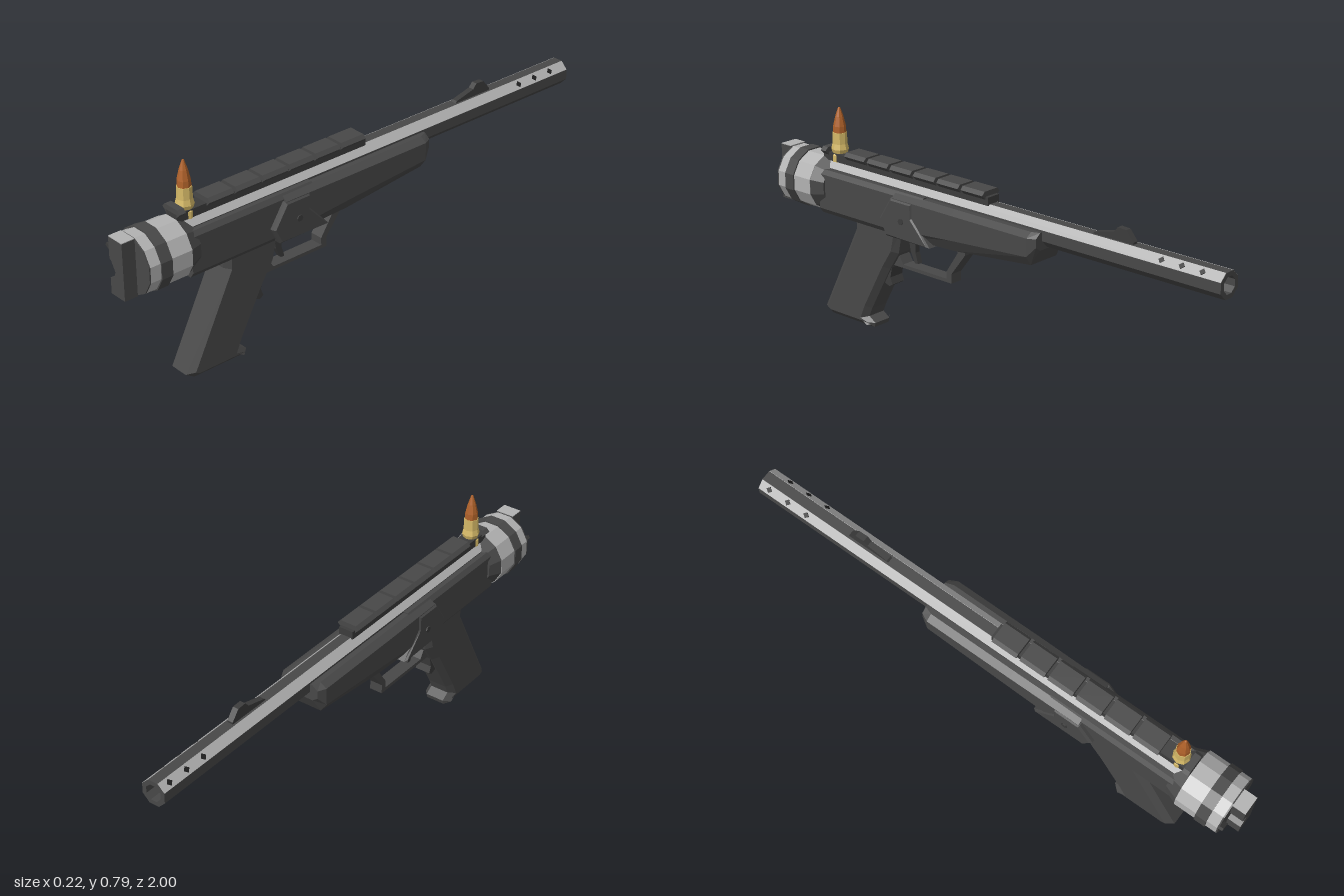
import * as THREE from 'three';

const mat = (name, color) => {
  const m = new THREE.MeshStandardMaterial({ color, flatShading: true });
  m.name = name;
  return m;
};

export function createModel() {
  const group = new THREE.Group();
  const dark = mat('dark gunmetal', 0x484848);
  const trim = mat('darker trim', 0x3c3c3c);
  const steel = mat('light steel', 0xb2b2b2);
  const brass = mat('brass', 0xd6ba68);
  const copper = mat('copper', 0xb0622a);
  const black = mat('port black', 0x202020);

  const add = (name, geo, material, x = 0, y = 0, z = 0) => {
    const m = new THREE.Mesh(geo, material);
    m.name = name;
    m.position.set(x, y, z);
    group.add(m);
    return m;
  };
  const box = (name, w, h, d, material, x, y, z) =>
    add(name, new THREE.BoxGeometry(w, h, d), material, x, y, z);
  const shapeOf = (pts) => new THREE.Shape(pts.map((p) => new THREE.Vector2(p[0], p[1])));

  // Side profile in (z, y), extruded across x
  const sideProfile = (pts, width, bevel = 0) => {
    const g = new THREE.ExtrudeGeometry(shapeOf(pts), {
      depth: width - 2 * bevel, bevelEnabled: bevel > 0, bevelSegments: 1,
      bevelSize: bevel, bevelThickness: bevel, bevelOffset: -bevel,
    });
    g.translate(0, 0, -(width - 2 * bevel) / 2);
    return g.rotateY(-Math.PI / 2);
  };

  // Loft of mirrored half sections, from high z to low z, points bottom to top
  const loft = (sections) => {
    const rings = sections.map(([z, half]) => [
      ...half.map(([x, y]) => [x, y, z]),
      ...[...half].reverse().map(([x, y]) => [-x, y, z]),
    ]);
    const pos = [];
    const tri = (...c) => c.forEach((p) => pos.push(...p));
    const n = rings[0].length;
    for (let i = 0; i < rings.length - 1; i++) {
      for (let j = 0; j < n; j++) {
        const k = (j + 1) % n;
        const [a, b, c, d] = [rings[i][j], rings[i][k], rings[i + 1][k], rings[i + 1][j]];
        tri(a, d, c);
        tri(a, c, b);
      }
    }
    const last = rings[rings.length - 1];
    for (let j = 1; j < n - 1; j++) {
      tri(rings[0][0], rings[0][j], rings[0][j + 1]);
      tri(last[0], last[j + 1], last[j]);
    }
    const g = new THREE.BufferGeometry();
    g.setAttribute('position', new THREE.Float32BufferAttribute(pos, 3));
    g.computeVertexNormals();
    return g;
  };

  // Octagonal barrel with a bore
  const octagon = (apothem) => Array.from({ length: 8 }, (_, i) => {
    const a = (i + 0.5) * Math.PI / 4;
    const r = apothem / Math.cos(Math.PI / 8);
    return new THREE.Vector2(Math.cos(a) * r, Math.sin(a) * r);
  });
  const barrelShape = new THREE.Shape(octagon(0.045));
  barrelShape.holes.push(new THREE.Path(octagon(0.029).reverse()));
  add('barrel', new THREE.ExtrudeGeometry(barrelShape, { depth: 1.76, bevelEnabled: false }),
    dark, 0, 0.55, -1);
  const plug = new THREE.CylinderGeometry(0.033, 0.033, 0.02, 8).rotateX(Math.PI / 2);
  add('borePlug', plug, black, 0, 0.55, -0.8);

  // Bright upper facets and diamond ports on both sides
  for (const s of [-1, 1]) {
    const angle = -s * Math.PI / 4;
    const off = 0.0445 * Math.SQRT1_2;
    box('barrelFacet', 0.037, 0.003, 1.75, steel, s * off, 0.55 + off, -0.124).rotation.z = angle;
    for (let i = 0; i < 3; i++) {
      const z = (s < 0 ? -0.96 : -0.92) + i * 0.08;
      const port = new THREE.CylinderGeometry(0.012, 0.012, 0.004, 4);
      const o = off + 0.0007;
      add('barrelPort', port, black, s * o, 0.55 + o, z).rotation.z = angle;
    }
  }

  // Receiver and fore-end
  const body = [[0.06, 0.4], [0.075, 0.42], [0.075, 0.55], [0.062, 0.566]];
  add('receiver', loft([[0.76, body], [0.25, body]]), dark);
  const fore = (x, bottom, side) =>
    [[x * 0.72, bottom], [x, side], [x, 0.545], [x * 0.72, 0.562]];
  add('foreEnd', loft([
    [0.38, fore(0.088, 0.4, 0.43)], [0.1, fore(0.09, 0.41, 0.455)],
    [-0.245, fore(0.09, 0.445, 0.48)], [-0.275, fore(0.075, 0.5, 0.515)],
  ]), dark);
  add('thumbRest', sideProfile([
    [0.44, 0.46], [0.385, 0.545], [0.28, 0.545], [0.28, 0.49], [0.2, 0.4], [0.41, 0.4],
  ], 0.188, 0.008), dark);
  for (const s of [-1, 1]) {
    const pin = new THREE.CylinderGeometry(0.012, 0.012, 0.006, 6).rotateZ(Math.PI / 2);
    add('framePin', pin, trim, s * 0.095, 0.47, 0.33);
  }

  // Grip with a finger ridge and flared toe
  add('grip', sideProfile([
    [0.61, 0.42], [0.61, 0.365], [0.78, 0.025], [0.745, 0.003], [0.53, 0.003], [0.525, 0.02],
    [0.555, 0.04], [0.54, 0.075], [0.445, 0.25], [0.4, 0.32], [0.38, 0.42],
  ], 0.114, 0.021), dark);
  add('fingerRidge', sideProfile([
    [0.51, 0.2], [0.455, 0.18], [0.44, 0.19], [0.45, 0.215], [0.44, 0.265], [0.5, 0.28],
  ], 0.06), trim);

  // Trigger guard and trigger
  add('triggerGuard', sideProfile([
    [0.45, 0.265], [0.155, 0.265], [0.155, 0.3], [0.09, 0.385], [0.09, 0.415], [0.125, 0.415],
    [0.125, 0.385], [0.178, 0.305], [0.178, 0.278], [0.39, 0.278], [0.415, 0.32], [0.45, 0.32],
  ], 0.05), dark);
  add('trigger', sideProfile([
    [0.375, 0.42], [0.375, 0.385], [0.365, 0.33], [0.345, 0.29], [0.33, 0.29],
    [0.342, 0.33], [0.342, 0.36], [0.325, 0.39], [0.325, 0.42],
  ], 0.022), trim);

  // Rear breech: stacked twelve-sided rings along z
  const ring = (name, rBack, rFront, z0, z1, material) => {
    const g = new THREE.CylinderGeometry(rBack, rFront, z1 - z0, 12);
    g.rotateY(Math.PI / 12).rotateX(Math.PI / 2);
    add(name, g, material, 0, 0.5, (z0 + z1) / 2);
  };
  ring('breechCollar', 0.105, 0.085, 0.73, 0.78, dark);
  ring('breechRing', 0.107, 0.107, 0.78, 0.862, steel);
  ring('breechBand', 0.112, 0.112, 0.862, 0.905, dark);
  ring('rearRing', 0.107, 0.107, 0.905, 0.945, steel);
  ring('rearFace', 0.107, 0.107, 0.945, 0.95, dark);

  // Upright rear bar with a thumb notch
  const bar = shapeOf([
    [-0.035, 0.397], [0.035, 0.397], [0.035, 0.604], [-0.035, 0.604], [-0.035, 0.525],
    [-0.015, 0.515], [-0.005, 0.49], [-0.015, 0.465], [-0.035, 0.455],
  ]);
  add('rearBar', new THREE.ExtrudeGeometry(bar, { depth: 0.05, bevelEnabled: false }),
    dark, 0, 0, 0.95);
  box('rearBarTop', 0.07, 0.003, 0.05, steel, 0, 0.605, 0.975);
  box('rearLever', 0.035, 0.012, 0.02, trim, -0.086, 0.527, 0.955).rotation.z = -0.6;

  // Top rail: base with raised angular lugs
  box('railBase', 0.056, 0.03, 0.8, trim, 0, 0.606, 0.38);
  const lug = [[0.028, 0.611], [0.044, 0.627], [0.032, 0.64]];
  for (let i = 0; i < 6; i++) {
    const z = 0.66 - i * 0.1135;
    add('railLug', loft([[z, lug], [z - 0.1, lug]]), dark);
  }
  add('railEndLug', loft([[0.78, lug], [0.755, lug]]), dark);

  // Front sight ramp
  add('frontSight', sideProfile([
    [-0.46, 0.59], [-0.63, 0.59], [-0.63, 0.602], [-0.6, 0.638], [-0.565, 0.64],
    [-0.55, 0.622], [-0.47, 0.602],
  ], 0.022), trim);

  // Upright cartridge
  const lathe = (name, pts, material) => add(name,
    new THREE.LatheGeometry(pts.map((p) => new THREE.Vector2(...p)), 8), material, 0, 0, 0.725);
  lathe('cartridgeCase', [
    [0, 0.59], [0.032, 0.59], [0.032, 0.615], [0.027, 0.62], [0.032, 0.635],
    [0.027, 0.655], [0.026, 0.697], [0, 0.697],
  ], brass);
  lathe('bullet', [[0.024, 0.695], [0.023, 0.72], [0.015, 0.755], [0.004, 0.788], [0, 0.789]], copper);

  return group;
}
